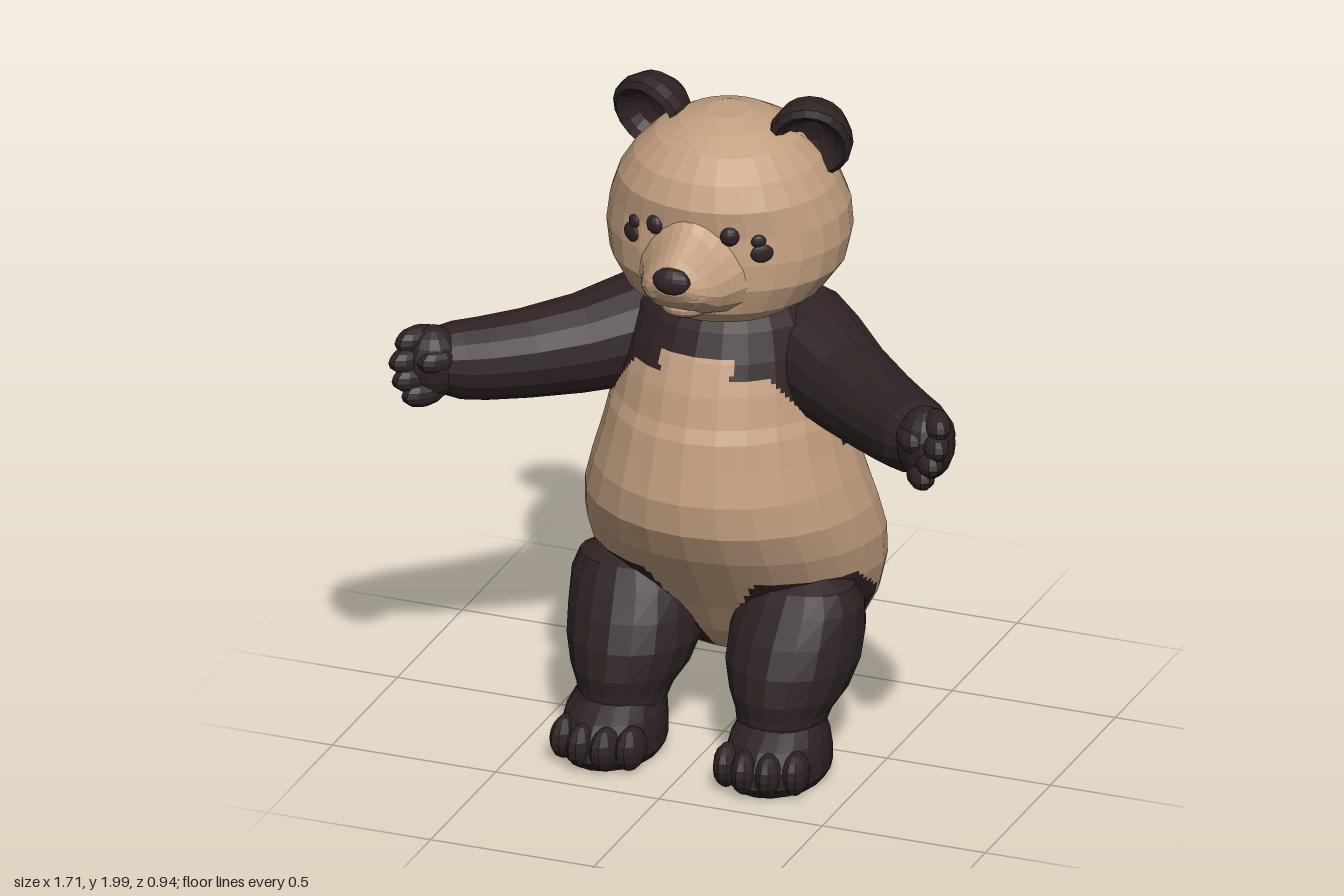
import * as THREE from 'three';

const mat = (name, color) => {
  const m = new THREE.MeshStandardMaterial({ color, flatShading: true });
  m.name = name;
  return m;
};

// Skin over a list of rings; each facet is subdivided so a rule can pick its colour
function loft(name, rings, materials, sub = 1, isSecond = () => false) {
  const mid = (r) => r.reduce((a, p) => a.add(p), new THREE.Vector3()).divideScalar(r.length);
  const cap = (r) => { const c = mid(r); return r.map(() => c); };
  const all = [cap(rings[0]), ...rings, cap(rings[rings.length - 1])];
  const parts = [[], []];
  const n = rings[0].length;
  for (let i = 0; i < all.length - 1; i++) for (let j = 0; j < n; j++) {
    const k = (j + 1) % n;
    const at = (u, v) => all[i][j].clone().lerp(all[i][k], u / sub)
      .lerp(all[i + 1][j].clone().lerp(all[i + 1][k], u / sub), v / sub);
    for (let u = 0; u < sub; u++) for (let v = 0; v < sub; v++) {
      const a = at(u, v), b = at(u + 1, v), c = at(u + 1, v + 1), d = at(u, v + 1);
      const list = parts[isSecond(mid([a, b, c, d])) ? 1 : 0];
      for (const p of [a, b, c, a, c, d]) list.push(p.x, p.y, p.z);
    }
  }
  const g = new THREE.BufferGeometry();
  g.setAttribute('position', new THREE.Float32BufferAttribute([...parts[0], ...parts[1]], 3));
  g.addGroup(0, parts[0].length / 3, 0);
  if (parts[1].length) g.addGroup(parts[0].length / 3, parts[1].length / 3, 1);
  g.computeVertexNormals();
  const m = new THREE.Mesh(g, materials);
  m.name = name;
  return m;
}

const ring = (n, point) => Array.from({ length: n }, (_, j) => {
  const t = (j / n) * Math.PI * 2;
  return point(Math.cos(t), Math.sin(t));
});

// Horizontal egg ring: height, half width, back z, front z, centre x, where along z it is widest
const oval = (n, y, hx, zb, zf, cx = 0, widest = 0.5) => ring(n, (c, s) => {
  const zc = zb + (zf - zb) * widest;
  return new THREE.Vector3(cx + hx * s, y, zc + c * (c > 0 ? zf - zc : zc - zb));
});

function blob(name, material, [x, y, z], [rx, ry, rz], rot = [0, 0, 0], w = 14, h = 10) {
  const m = new THREE.Mesh(new THREE.SphereGeometry(1, w, h), material);
  m.name = name;
  m.position.set(x, y, z);
  m.scale.set(rx, ry, rz);
  m.rotation.set(...rot);
  return m;
}

export function createModel() {
  const model = new THREE.Group();
  model.name = 'bear';
  const tan = mat('tan fur', 0xc29f80);
  const dark = mat('dark fur', 0x2e2223);
  const add = (...parts) => model.add(...parts);

  // Torso, with dark shoulders around a pale bib and dark hips
  const torso = [
    [0.235, 0.18, -0.2, -0.06], [0.275, 0.285, -0.25, 0], [0.35, 0.36, -0.315, 0.075],
    [0.45, 0.412, -0.362, 0.14], [0.55, 0.438, -0.384, 0.21], [0.65, 0.443, -0.387, 0.28],
    [0.75, 0.427, -0.372, 0.335], [0.85, 0.397, -0.352, 0.345], [0.95, 0.367, -0.337, 0.325],
    [1.03, 0.347, -0.33, 0.31], [1.07, 0.335, -0.328, 0.29], [1.16, 0.32, -0.325, 0.265],
    [1.25, 0.3, -0.31, 0.23], [1.33, 0.27, -0.295, 0.19], [1.4, 0.21, -0.275, 0.13],
  ].map((r) => oval(24, ...r, 0, 0.42));
  const bibHeight = (x) => (x < 0.11 ? 1.26 : x < 0.2 ? 1.21 : 1.21 - (x - 0.2) * 1.4);
  const sideHeight = (z) => (z > -0.01 ? 1 : z > -0.11 ? 0.955 : z > -0.16 ? 1.01 : 1.065);
  const isDark = ({ x: px, y, z }) => {
    const x = Math.abs(px);
    if (y < 0.7) {
      return z > -0.14 && y < 0.565 - Math.max(0, -z) * 0.7
        && x > (z < -0.04 ? 0.16 : 0.04 + Math.max(0, y - 0.33) * 0.52);
    }
    return y > (z > 0.04 ? bibHeight(x) : sideHeight(z));
  };
  add(loft('torso', torso, [tan, dark], 6, isDark));
  add(blob('tail', tan, [0, 0.495, -0.383], [0.143, 0.153, 0.088], [-0.3, 0, 0]));

  // Head
  const head = [
    [1.335, 0.12, -0.15, 0.12], [1.37, 0.21, -0.22, 0.2], [1.42, 0.285, -0.29, 0.255],
    [1.5, 0.342, -0.345, 0.275], [1.58, 0.357, -0.367, 0.272], [1.66, 0.348, -0.367, 0.262],
    [1.74, 0.317, -0.347, 0.27], [1.81, 0.272, -0.305, 0.238], [1.87, 0.21, -0.245, 0.178],
    [1.91, 0.14, -0.175, 0.105], [1.934, 0.06, -0.1, 0.03],
  ].map((r) => oval(26, ...r));
  add(loft('head', head, [tan]));

  // Muzzle sloping from brow to nose, narrower along its bridge: z, half width, bottom, top
  const muzzle = [
    [0.15, 0.2, 1.39, 1.73], [0.25, 0.15, 1.415, 1.72], [0.285, 0.132, 1.43, 1.685],
    [0.325, 0.118, 1.445, 1.662], [0.35, 0.108, 1.465, 1.648], [0.375, 0.095, 1.485, 1.635],
    [0.398, 0.075, 1.51, 1.618], [0.412, 0.045, 1.535, 1.6],
  ].map(([z, hx, y0, y1]) => ring(18, (c, s) => new THREE.Vector3(
    hx * c * (1 - 0.38 * s), (y0 + y1) / 2 + (y1 - y0) / 2 * s, z)));
  add(
    loft('muzzle', muzzle, [tan]),
    blob('chin', tan, [0, 1.468, 0.295], [0.075, 0.04, 0.07]),
    blob('nose', dark, [0, 1.577, 0.402], [0.058, 0.04, 0.03], [-0.2, 0, 0]),
  );

  // Ear bowl: domed behind, hollow in front
  const earProfile = [[0, -0.1], [0.055, -0.09], [0.102, -0.05], [0.124, 0.005], [0.122, 0.035],
    [0.104, 0.048], [0.082, 0.03], [0.065, 0], [0.035, -0.018], [0, -0.022]]
    .map(([r, h]) => new THREE.Vector2(r, h));
  const earGeometry = new THREE.LatheGeometry(earProfile, 18).rotateX(Math.PI / 2);

  for (const s of [1, -1]) {
    const ear = new THREE.Mesh(earGeometry, dark);
    ear.name = 'ear';
    ear.position.set(s * 0.24, 1.874, -0.07);
    ear.scale.set(0.98, 1.03, 1);
    ear.rotation.set(0.3, s * 0.25, 0);
    add(ear, blob('earRoot', tan, [s * 0.175, 1.835, -0.105], [0.05, 0.06, 0.06]));

    // Face details
    add(
      blob('lip', tan, [s * 0.045, 1.53, 0.335], [0.068, 0.042, 0.068]),
      blob('eye', dark, [s * 0.113, 1.668, 0.238], [0.029, 0.03, 0.025], [0, s * 0.35, 0]),
      blob('eyePatch', dark, [s * 0.2, 1.615, 0.208], [0.034, 0.028, 0.012], [0, s * 0.6, 0]),
      blob('eyePatchTop', dark, [s * 0.19, 1.652, 0.21], [0.022, 0.02, 0.012], [0, s * 0.55, 0]),
    );

    // Arm reaching outward and forward
    const arm = [
      [0.1, 1.23, -0.12, 0.16], [0.2, 1.225, -0.09, 0.168], [0.3, 1.2, -0.02, 0.162],
      [0.42, 1.172, 0.068, 0.143], [0.545, 1.16, 0.162, 0.129], [0.645, 1.16, 0.242, 0.12],
      [0.705, 1.165, 0.29, 0.113], [0.75, 1.17, 0.322, 0.096],
    ];
    const along = new THREE.Vector3(s * 0.77, 0, 0.64);
    const up = new THREE.Vector3(0, 1, 0);
    const side = along.clone().cross(up);
    add(loft('arm', arm.map(([x, y, z, r]) => ring(16, (c, d) => new THREE.Vector3(s * x, y, z)
      .addScaledVector(up, r * c).addScaledVector(side, r * 0.97 * d))), [dark]));

    // Paw with curled fingers
    add(blob('hand', dark, [s * 0.755, 1.175, 0.345], [0.085, 0.11, 0.09], [0, s * 0.85, 0]));
    for (const [x, y, z] of [[0.795, 1.245, 0.36], [0.802, 1.195, 0.39], [0.788, 1.145, 0.4],
      [0.76, 1.1, 0.395], [0.72, 1.2, 0.375]]) {
      add(blob('finger', dark, [s * x, y, z], [0.041, 0.041, 0.076], [0, s * 0.55, 0], 10, 8));
    }

    // Leg
    const leg = [
      [0.08, 0.13, 0.03, 0.3], [0.15, 0.127, 0.035, 0.3], [0.19, 0.138, -0.01, 0.3],
      [0.24, 0.168, -0.1, 0.305], [0.32, 0.193, -0.145, 0.288], [0.4, 0.195, -0.15, 0.252],
      [0.48, 0.185, -0.12, 0.205], [0.54, 0.155, -0.07, 0.168], [0.575, 0.08, 0, 0.1],
    ].map(([y, hx, zb, zf]) => oval(18, y, hx, zb, zf, s * (0.243 + Math.max(0, y - 0.35) * 0.09)));
    add(loft('leg', leg, [dark]));

    // Foot and toes
    const foot = [[0, 0.13, 0.03, 0.39], [0.03, 0.148, 0.015, 0.415], [0.08, 0.148, 0.02, 0.405],
      [0.13, 0.138, 0.03, 0.37], [0.17, 0.12, 0.05, 0.31]]
      .map(([y, hx, zb, zf]) => oval(18, y, hx, zb, zf, s * 0.252));
    add(loft('foot', foot, [dark]));
    for (const [x, z] of [[0.147, 0.345], [0.213, 0.375], [0.285, 0.37], [0.352, 0.33]]) {
      add(blob('toe', dark, [s * x, 0.068, z], [0.04, 0.065, 0.066], [0, s * 0.15, 0], 10, 8));
    }
  }
  return model;
}
